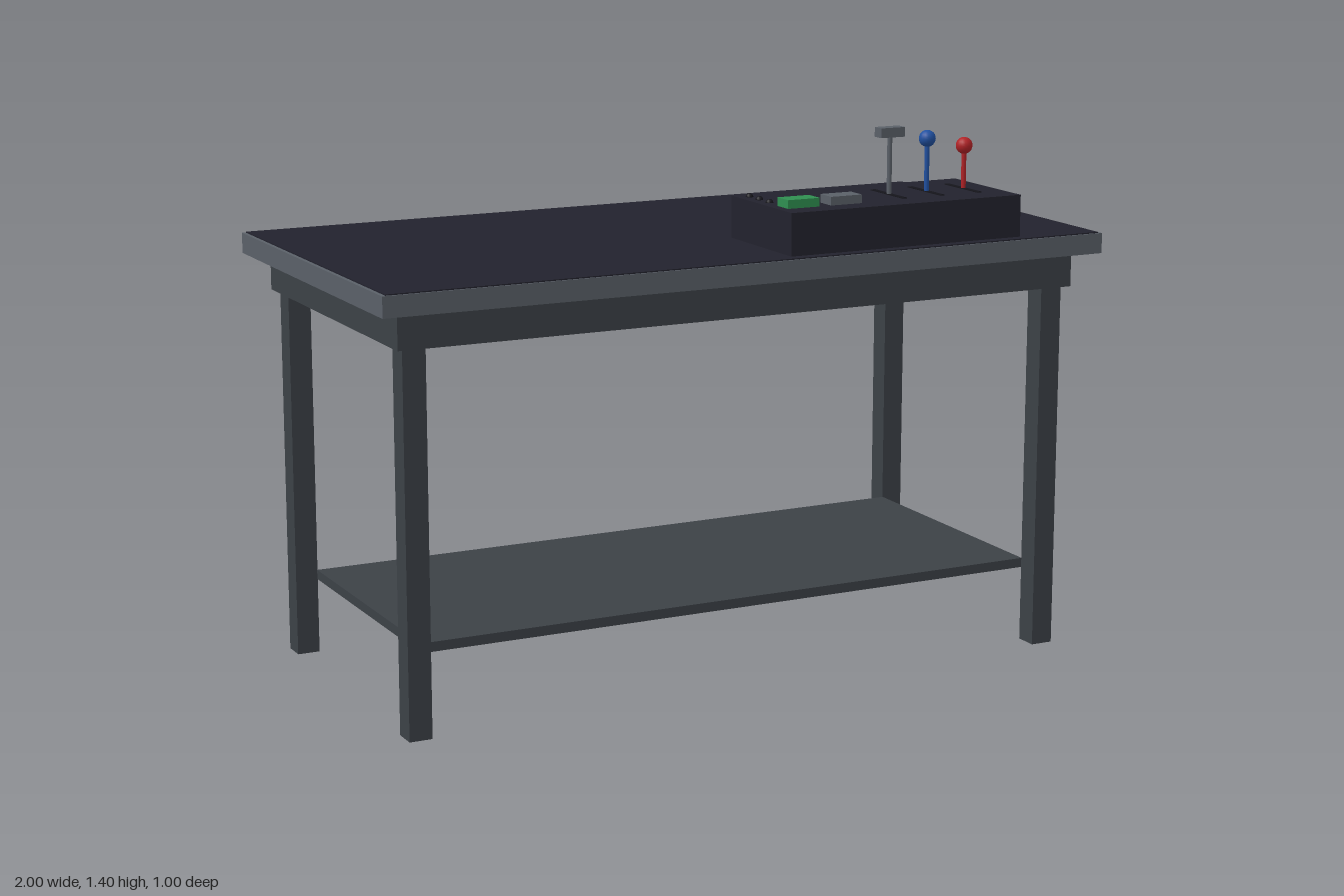
import * as THREE from 'three';

const material = (name, color) => {
  const m = new THREE.MeshStandardMaterial({ color });
  m.name = name;
  return m;
};

export function createModel() {
  const steel = material('edge grey', 0x5a6068);
  const frame = material('frame grey', 0x3c4146);
  const dark = material('dark surface', 0x22222d);
  const black = material('slot black', 0x15151b);
  const green = material('button green', 0x2f8f50);
  const blue = material('lever blue', 0x2050a0);
  const red = material('lever red', 0xb02226);

  const model = new THREE.Group();
  model.name = 'controlTable';

  const add = (parent, name, geometry, mat, x, y, z) => {
    const mesh = new THREE.Mesh(geometry, mat);
    mesh.name = name;
    mesh.position.set(x, y, z);
    parent.add(mesh);
    return mesh;
  };
  // Box given by its minimum and maximum on each axis
  const box = (parent, name, mat, [x0, x1], [y0, y1], [z0, z1]) =>
    add(parent, name, new THREE.BoxGeometry(x1 - x0, y1 - y0, z1 - z0), mat,
      (x0 + x1) / 2, (y0 + y1) / 2, (z0 + z1) / 2);

  // Table
  box(model, 'tableTop', steel, [-1, 1], [1.065, 1.118], [-0.502, 0.502]);
  box(model, 'tableMat', dark, [-0.99, 0.99], [1.117, 1.121], [-0.497, 0.497]);
  box(model, 'apron', frame, [-0.943, 0.943], [0.973, 1.065], [-0.447, 0.447]);
  box(model, 'shelf', frame, [-0.866, 0.866], [0.2, 0.225], [-0.367, 0.367]);
  for (const sx of [-1, 1]) {
    for (const sz of [-1, 1]) {
      add(model, 'leg', new THREE.BoxGeometry(0.06, 0.973, 0.062), frame,
        sx * 0.895, 0.4865, sz * 0.398);
    }
  }

  // Control console
  const console_ = new THREE.Group();
  console_.name = 'console';
  model.add(console_);
  const top = 1.23;
  box(console_, 'consoleBody', dark, [0.096, 0.767], [1.12, top], [0.15, 0.47]);
  box(console_, 'greenButton', green, [0.12, 0.21], [top, 1.252], [0.353, 0.408]);
  box(console_, 'greyButton', steel, [0.243, 0.332], [top, 1.252], [0.353, 0.408]);
  for (const z of [0.19, 0.243, 0.297]) {
    add(console_, 'indicator', new THREE.SphereGeometry(0.01, 10, 8), black, 0.127, top, z);
  }

  // Levers, each standing in a slot
  const levers = [
    { name: 'grey', x: 0.468, end: 1.385, mat: steel },
    { name: 'blue', x: 0.58, end: 1.368, mat: blue },
    { name: 'red', x: 0.692, end: 1.343, mat: red },
  ];
  for (const { name, x, end, mat } of levers) {
    const lever = new THREE.Group();
    lever.name = name + 'Lever';
    console_.add(lever);
    box(lever, 'slot', black, [x - 0.007, x + 0.007], [top - 0.001, top + 0.002], [0.23, 0.39]);
    add(lever, 'stem', new THREE.CylinderGeometry(0.0065, 0.0065, end - top, 10), mat,
      x, (top + end) / 2, 0.312);
    if (name === 'grey') {
      box(lever, 'handle', mat, [x - 0.035, x + 0.035], [1.379, 1.404], [0.295, 0.329]);
    } else {
      add(lever, 'knob', new THREE.SphereGeometry(0.022, 16, 12), mat, x, end, 0.312);
    }
  }
  return model;
}
